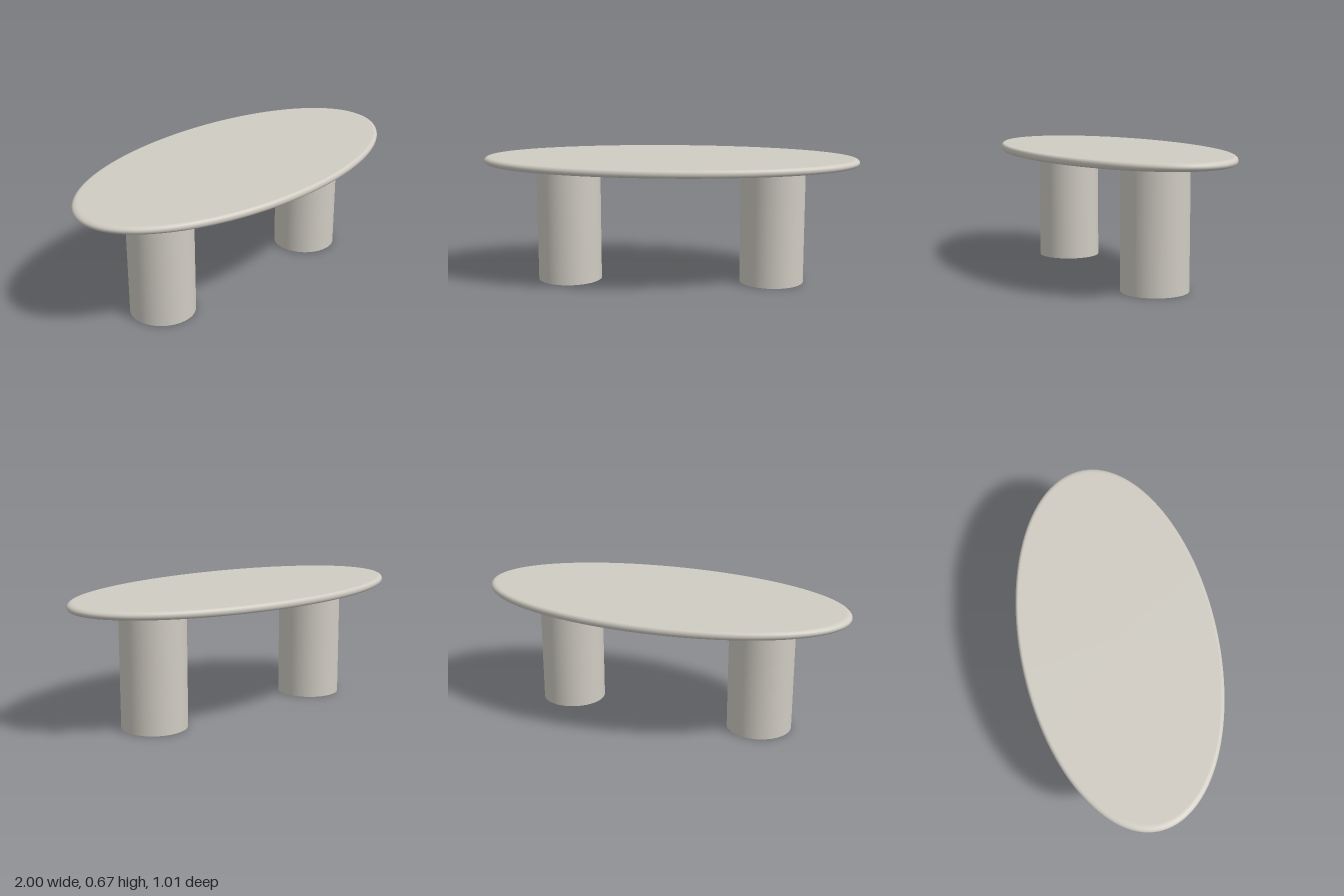
import * as THREE from 'three';

export function createModel() {
  const group = new THREE.Group();
  group.name = 'ovalTable';
  const stone = new THREE.MeshStandardMaterial({ color: 0xd0ccc3 });
  stone.name = 'warm grey';

  // Oval top: round slab with a bullnose rim, squeezed in depth
  const bottom = 0.63, top = 0.67, half = (top - bottom) / 2, rim = 0.03;
  const profile = [new THREE.Vector2(0, bottom), new THREE.Vector2(0.965, bottom)];
  for (let i = 0; i <= 12; i++) {
    const a = -Math.PI / 2 + (Math.PI * i) / 12;
    profile.push(new THREE.Vector2(1 - rim + rim * Math.cos(a), bottom + half + half * Math.sin(a)));
  }
  profile.push(new THREE.Vector2(0.965, top), new THREE.Vector2(0, top));
  const slab = new THREE.LatheGeometry(profile, 128);
  slab.scale(1, 1, 0.505);
  const tableTop = new THREE.Mesh(slab, stone);
  tableTop.name = 'tableTop';
  group.add(tableTop);

  // Two drum legs, set very slightly forward
  const drum = new THREE.CylinderGeometry(0.171, 0.171, bottom, 64);
  for (const side of [-1, 1]) {
    const leg = new THREE.Mesh(drum, stone);
    leg.name = side > 0 ? 'leftLeg' : 'rightLeg';
    leg.position.set(side * 0.547, bottom / 2, 0.009);
    group.add(leg);
  }
  return group;
}
